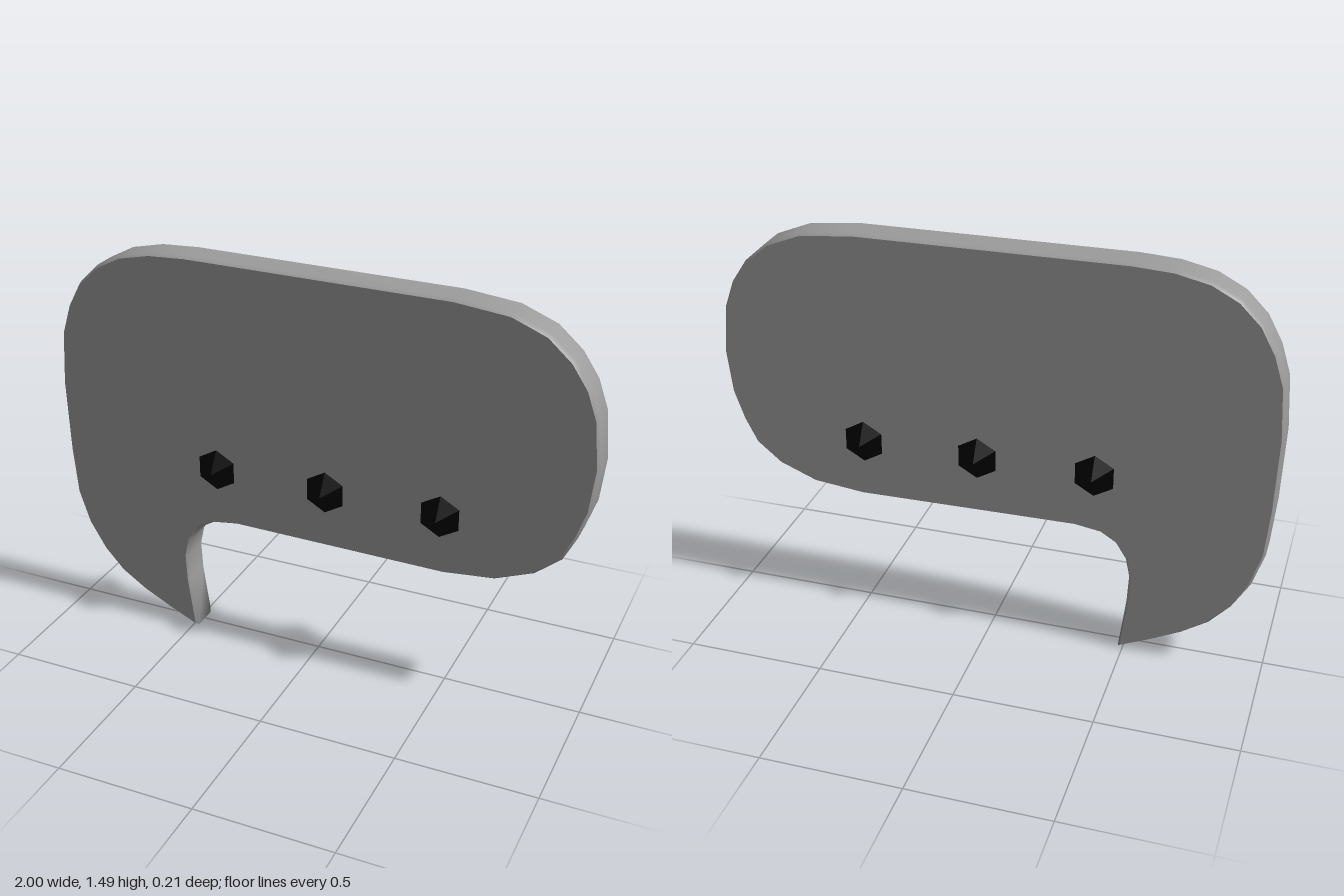
import * as THREE from 'three';
import { mergeGeometries, mergeVertices } from 'three/addons/utils/BufferGeometryUtils.js';

const HALF_DEPTH = 0.061, BEVEL_DEPTH = 0.014, BEVEL_SIZE = 0.009;

// Outline of the bubble, clockwise from the top left, x and y in pairs
const OUTLINE = [
  // top edge and rounded right end
  [-0.47, 1.485], [0.49, 1.48], [0.68, 1.46], [0.805, 1.41], [0.89, 1.335], [0.947, 1.25],
  [0.983, 1.15], [1, 0.98], [0.983, 0.822], [0.947, 0.715], [0.902, 0.625], [0.812, 0.55],
  [0.675, 0.495], [0.49, 0.475],
  // lower edge, curving down into the tail
  [-0.305, 0.484], [-0.4, 0.47], [-0.457, 0.435], [-0.495, 0.375], [-0.51, 0.305],
  [-0.505, 0.2], [-0.481, 0],
  // outer side of the tail and left end
  [-0.6, 0.052], [-0.705, 0.105], [-0.8, 0.168], [-0.875, 0.25], [-0.937, 0.355],
  [-0.977, 0.48], [-0.992, 0.66], [-1, 0.93], [-0.987, 1.12], [-0.952, 1.23],
  [-0.9, 1.325], [-0.825, 1.4], [-0.73, 1.45], [-0.61, 1.477],
];

// One group of a geometry on its own, positions only
function takeGroup(geometry, { start, count }) {
  const part = new THREE.BufferGeometry();
  const positions = geometry.attributes.position.array.slice(start * 3, (start + count) * 3);
  part.setAttribute('position', new THREE.BufferAttribute(positions, 3));
  return part;
}

// Bevelled slab: flat faces, with the rim shaded smoothly all the way round
function makeBubble(material) {
  const shape = new THREE.Shape(OUTLINE.map(([x, y]) => new THREE.Vector2(x, y)));
  const depth = 2 * (HALF_DEPTH - BEVEL_DEPTH);
  const slab = new THREE.ExtrudeGeometry(shape, {
    depth,
    bevelThickness: BEVEL_DEPTH,
    bevelSize: BEVEL_SIZE,
    bevelOffset: -BEVEL_SIZE,
    bevelSegments: 1,
  });
  slab.translate(0, 0, -depth / 2);

  const faces = takeGroup(slab, slab.groups[0]);
  faces.computeVertexNormals();
  const rim = mergeVertices(takeGroup(slab, slab.groups[1]));
  rim.computeVertexNormals();

  const mesh = new THREE.Mesh(mergeGeometries([faces, rim.toNonIndexed()]), material);
  mesh.name = 'speechBubble';
  return mesh;
}

// Six-sided double cone whose tips stand out of both faces of the bubble
function makeDotGeometry() {
  const tip = 0.107, radius = 0.183;
  const profile = [[0, -tip], [radius, 0], [0, tip]].map(([r, y]) => new THREE.Vector2(r, y));
  const geometry = new THREE.LatheGeometry(profile, 6);
  geometry.rotateX(Math.PI / 2);
  return geometry;
}

export function createModel() {
  const model = new THREE.Group();
  model.name = 'speechBubbleIcon';
  model.add(makeBubble(new THREE.MeshStandardMaterial({ color: 0x9c9c9c })));

  // Row of three dots
  const dotGeometry = makeDotGeometry();
  const black = new THREE.MeshStandardMaterial({ color: 0x000000, flatShading: true });
  [-0.373, 0.05, 0.475].forEach((x, i) => {
    const dot = new THREE.Mesh(dotGeometry, black);
    dot.name = `dot${i + 1}`;
    dot.position.set(x, 0.697, 0);
    model.add(dot);
  });
  return model;
}
